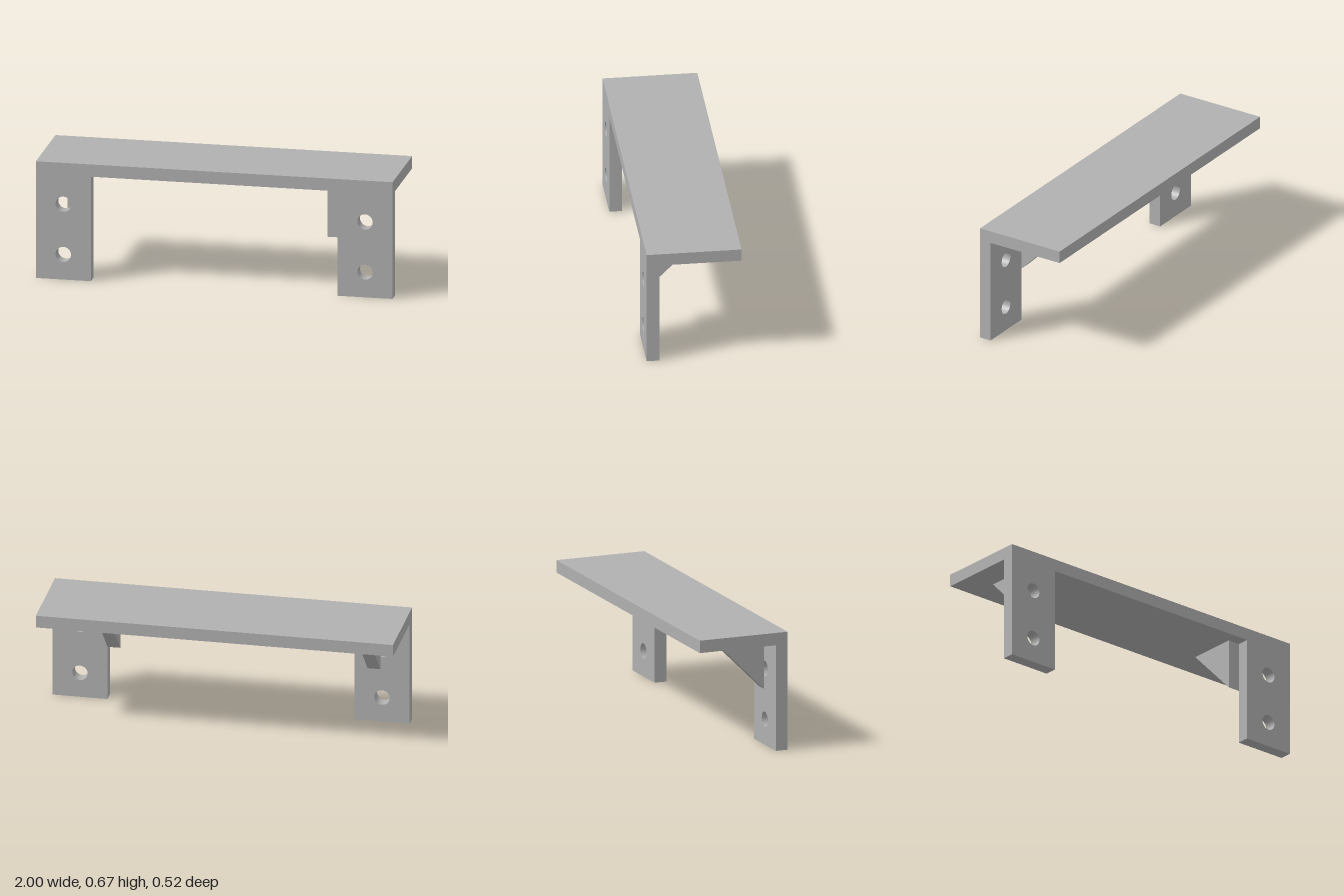
import * as THREE from 'three';

const W = 1, H = 0.667, D = 0.262;   // half width, height, half depth
const T = 0.07;                      // plate thickness
const LEG = 0.308;                   // leg width

export function createModel() {
  const group = new THREE.Group();
  const grey = new THREE.MeshStandardMaterial({ color: 0xb0b0b0 });
  grey.name = 'grey';

  const add = (name, geometry, x, y, z) => {
    const mesh = new THREE.Mesh(geometry, grey);
    mesh.name = name;
    mesh.position.set(x, y, z);
    group.add(mesh);
    return mesh;
  };

  // Flat shelf on top
  add('shelf', new THREE.BoxGeometry(2 * W, T, 2 * D), 0, H - T / 2, 0);

  // Mounting leg with two screw holes
  const legShape = new THREE.Shape();
  legShape.moveTo(-LEG / 2, 0);
  legShape.lineTo(LEG / 2, 0);
  legShape.lineTo(LEG / 2, H - T);
  legShape.lineTo(-LEG / 2, H - T);
  legShape.closePath();
  for (const y of [0.144, 0.431]) {
    legShape.holes.push(new THREE.Path().absarc(0, y, 0.043, 0, Math.PI * 2, true));
  }
  const leg = new THREE.ExtrudeGeometry(legShape, { depth: T, bevelEnabled: false, curveSegments: 32 });

  // Triangular gusset, drawn in (-z, y) and extruded along x
  const R = 0.284;
  const gussetShape = new THREE.Shape();
  gussetShape.moveTo(0, 0);
  gussetShape.lineTo(0, -R);
  gussetShape.lineTo(R, 0);
  gussetShape.closePath();
  const gusset = new THREE.ExtrudeGeometry(gussetShape, { depth: T + 0.002, bevelEnabled: false });
  gusset.rotateY(Math.PI / 2);

  add('leftLeg', leg, W - LEG / 2, 0, D - T);
  add('rightLeg', leg, -W + LEG / 2, 0, D - T);

  // Both gussets sit the same way round, so they are not mirrored
  add('leftGusset', gusset, 0.62, H - T, D - T);
  add('rightGusset', gusset, -0.837, H - T, D - T);

  return group;
}
